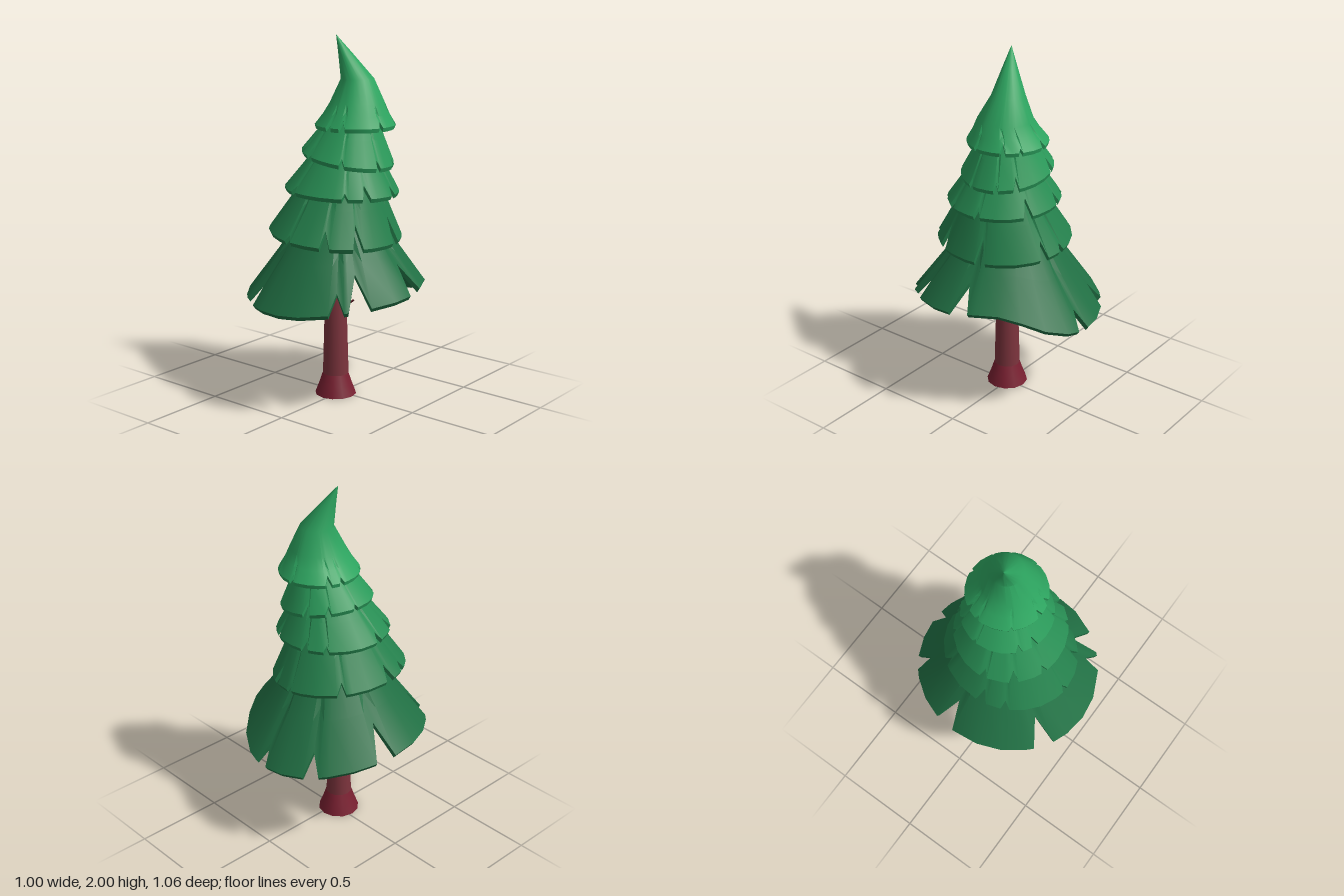
import * as THREE from 'three';
import { toCreasedNormals } from 'three/addons/utils/BufferGeometryUtils.js';

const RAD = Math.PI / 180;

// Skin a list of closed rings of Vector3, running from top to bottom
function loft(rings) {
  const points = [], n = rings[0].length;
  for (let i = 0; i < rings.length - 1; i++) {
    for (let j = 0; j < n; j++) {
      const k = (j + 1) % n;
      const a = rings[i][j], b = rings[i][k], c = rings[i + 1][j], d = rings[i + 1][k];
      points.push(a, b, c, b, d, c);
    }
  }
  return toCreasedNormals(new THREE.BufferGeometry().setFromPoints(points), 0.55);
}

function part(name, geometry, color) {
  const material = new THREE.MeshStandardMaterial({ color, side: THREE.DoubleSide });
  const mesh = new THREE.Mesh(geometry, material);
  mesh.name = name;
  return mesh;
}

// Point on a level ellipse: centre x and z, radius along x and along z
function onEllipse([cx, cz, rx, rz = rx], y, angle) {
  return new THREE.Vector3(cx + rx * Math.cos(angle), y, cz + rz * Math.sin(angle));
}

// Irregular small notches around a rim, as [degrees, depth]
function smallNotches(seed) {
  return Array.from({ length: 9 }, (_, i) => [
    i * 40 + 20 + 11 * Math.sin(i * 2.3 + seed),
    0.11 + 0.05 * Math.sin(i * 1.7 + seed),
  ]);
}

// Rim columns: a V at each notch, plain points between
function rimColumns(notches) {
  const columns = [];
  for (const [deg, cut] of notches) {
    const half = 2 + cut * 18;
    columns.push({ deg: deg - half, cut: 0 }, { deg, cut }, { deg: deg + half, cut: 0 });
  }
  for (let deg = 0; deg < 360; deg += 15) {
    const near = notches.some(([d, cut]) => Math.abs(((deg - d + 540) % 360) - 180) < 6 + cut * 18);
    if (!near) columns.push({ deg, cut: 0 });
  }
  columns.forEach((c) => { c.deg = (c.deg + 360) % 360; });
  return columns.sort((a, b) => a.deg - b.deg);
}

// One skirt of foliage: outer slope, thick rim edge and a parallel inner shell
function tierGeometry({ rim, height: [y, tiltX, tiltZ, saddle = 0], upper, notches, dent = [0, 0] }) {
  const columns = rimColumns(notches);
  const rings = upper.map(([level, ...circle]) =>
    columns.map(({ deg }) => onEllipse(circle, level, deg * RAD)));
  const top = rings[rings.length - 1];
  const [cx, cz] = rim;
  const mid = [], edge = [], lip = [], innerMid = [], innerTop = [], ceiling = [];
  // scale a point towards the skirt's axis and set its height
  const shrink = (p, s, level) =>
    new THREE.Vector3(cx + (p.x - cx) * s, level, cz + (p.z - cz) * s);

  columns.forEach(({ deg, cut }, j) => {
    const a = deg * RAD, t = top[j];
    const rimY = y + tiltX * Math.cos(a) + tiltZ * Math.sin(a) + saddle * Math.cos(2 * a);
    const full = onEllipse(rim, rimY, a);
    const reach = Math.hypot(full.x - cx, full.z - cz);
    const run = reach - Math.hypot(t.x - cx, t.z - cz);
    // a broad dent pulls one side in; notches climb back along the slope
    const pull = dent[1] * Math.max(0, Math.cos(a - dent[0] * RAD)) ** 8;
    const depth = Math.min(cut + pull, (0.45 * run) / reach);
    const climb = (0.85 * depth * reach) / run;
    const tip = shrink(full, 1 - depth, rimY + (t.y - rimY) * climb);
    // each notch continues upwards as a crease
    const m = t.clone().lerp(tip, 0.5);
    mid.push(shrink(m, cut ? 0.945 : 0.975, m.y));
    edge.push(tip);
    lip.push(shrink(tip, 0.97, tip.y - 0.022));
    innerMid.push(shrink(m, 0.92, m.y - 0.03));
    innerTop.push(shrink(t, 0.85, t.y - 0.04));
    ceiling.push(shrink(t, 0, t.y - 0.04));
  });
  return loft([...rings, mid, edge, lip, innerMid, innerTop, ceiling]);
}

export function createModel() {
  const tree = new THREE.Group();
  tree.name = 'pineTree';

  // rim: x, z, radii; height: level and tilts; upper: rings of level, x, z, radius
  const tiers = [
    {
      name: 'lowestFoliage', rim: [0, 0, 0.505, 0.532], height: [0.59, 0.02, 0.025, 0.037],
      upper: [[1.05, 0, 0, 0.2]], dent: [327, 0.1],
      // deep cuts split this skirt into broad petals
      notches: [[38, 0.27], [52, 0.15], [122, 0.26], [189, 0.26], [236, 0.16], [272, 0.14], [356, 0.25]],
    },
    {
      name: 'lowerFoliage', rim: [-0.01, 0.03, 0.352, 0.38], height: [0.94, -0.03, 0.005],
      upper: [[1.29, 0.03, 0.015, 0.185]], notches: smallNotches(1),
    },
    {
      name: 'middleFoliage', rim: [0.017, 0.01, 0.315, 0.305], height: [1.18, -0.01, 0.005],
      upper: [[1.44, 0.04, -0.015, 0.15]], notches: smallNotches(2.5),
    },
    {
      name: 'upperFoliage', rim: [0.032, -0.022, 0.255, 0.245], height: [1.355, -0.04, 0.005],
      upper: [[1.6, 0.06, -0.04, 0.12]], notches: smallNotches(4),
    },
    {
      // bent pointed crown
      name: 'crownFoliage', rim: [0.062, -0.048, 0.218], height: [1.527, 0, 0],
      upper: [[2, -0.03, 0, 0.001], [1.9, 0.015, -0.025, 0.04],
        [1.77, 0.07, -0.057, 0.09], [1.645, 0.079, -0.044, 0.148]],
      notches: smallNotches(5.5),
    },
  ];
  // foliage brightens towards the crown
  const dark = new THREE.Color(0x217044), light = new THREE.Color(0x2da560);
  tiers.forEach((tier, i) => {
    const color = dark.clone().lerp(light, i / (tiers.length - 1));
    tree.add(part(tier.name, tierGeometry(tier), color));
  });

  // Trunk with a flared foot, turned from profiles of radius and height
  const turned = (profile) => {
    const lathe = new THREE.LatheGeometry(profile.map((p) => new THREE.Vector2(...p)), 12);
    return toCreasedNormals(lathe.translate(-0.019, 0, 0.02), 0.7);
  };
  tree.add(part('trunkFoot', turned([[0, 0], [0.116, 0], [0.093, 0.06], [0.073, 0.12]]), 0x781f30));
  tree.add(part('trunk', turned([[0.073, 0.12], [0.06, 0.58], [0.05, 1.02]]), 0x7d343d));

  // Thin bare twigs under the foliage
  const twig = (from, to) => {
    const path = new THREE.LineCurve3(new THREE.Vector3(...from), new THREE.Vector3(...to));
    tree.add(part('twig', new THREE.TubeGeometry(path, 1, 0.006, 5), 0x6e2530));
  };
  twig([-0.06, 0.42, 0.02], [-0.18, 0.5, 0.02]);
  twig([0.02, 0.5, 0.025], [0.12, 0.57, 0.035]);
  return tree;
}
